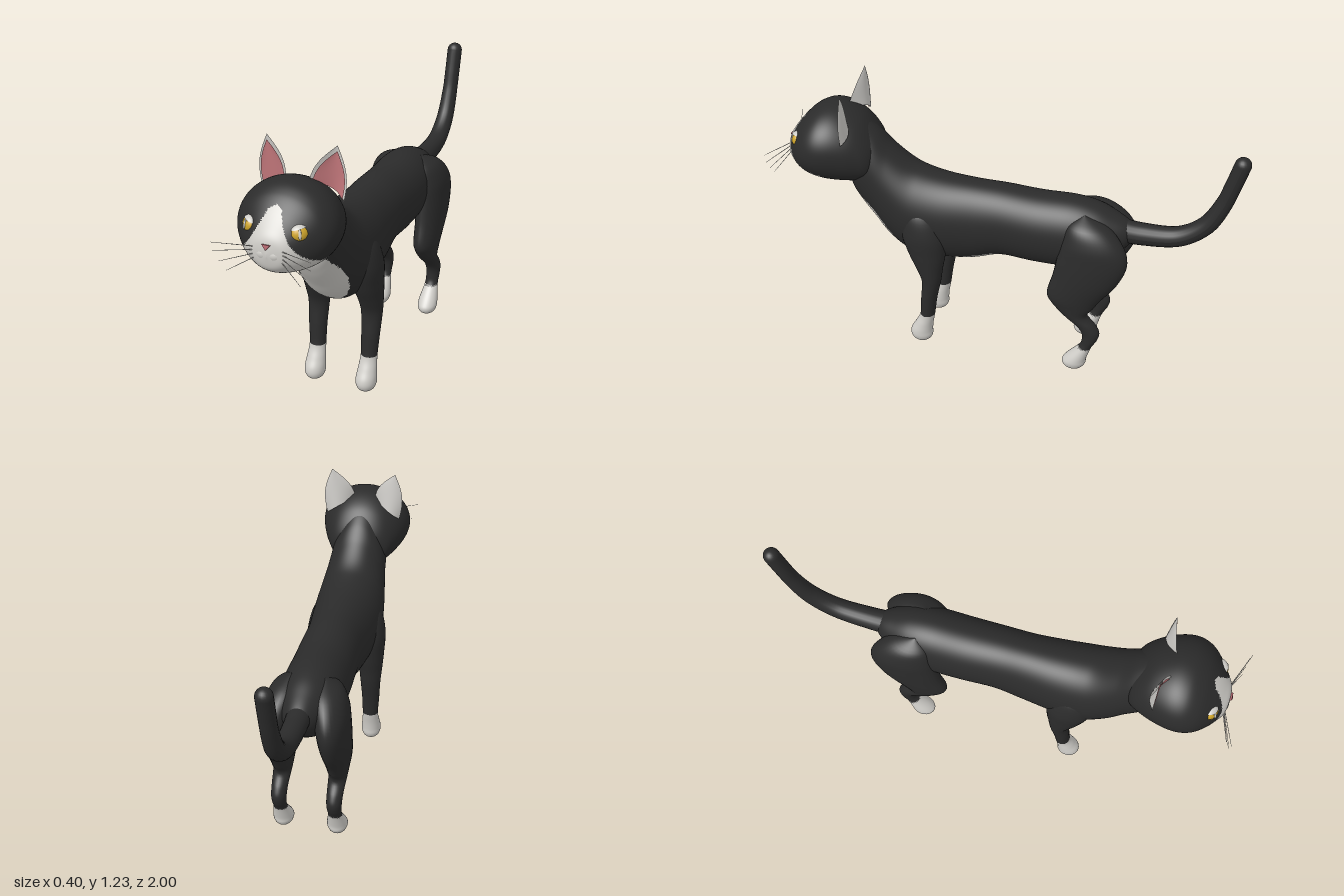
import * as THREE from 'three';

const mat = (name, color, side = THREE.FrontSide) => {
  const m = new THREE.MeshStandardMaterial({ color, side });
  m.name = name;
  return m;
};
const black = mat('black fur', 0x2b2b2b);
const white = mat('white fur', 0xcfcdc8);
const earWhite = mat('ear white', 0xcfcdc9, THREE.DoubleSide);
const earPink = mat('ear pink', 0xc4787c, THREE.DoubleSide);
const nosePink = mat('nose pink', 0xb0626a);
const yellow = mat('eye yellow', 0xcfa52a);

const mesh = (name, geometry, material, parent) => {
  const m = new THREE.Mesh(geometry, material);
  m.name = name;
  parent.add(m);
  return m;
};

// Catmull-Rom through a list of rows, t measured in rows
function sample(rows, t) {
  const i = Math.min(Math.floor(t), rows.length - 2), f = t - i;
  const at = k => rows[Math.max(0, Math.min(rows.length - 1, k))];
  const [a, b, c, d] = [at(i - 1), at(i), at(i + 1), at(i + 2)];
  return b.map((q, k) => {
    const m0 = (c[k] - a[k]) / 2, m1 = (d[k] - q) / 2;
    return q + f * m0 + f * f * (3 * (c[k] - q) - 2 * m0 - m1) + f * f * f * (2 * (q - c[k]) + m0 + m1);
  });
}

// linear lookup in [key, value] pairs, 0 outside
function lookup(table, k) {
  for (let i = 1; i < table.length; i++) {
    const [a, va] = table[i - 1], [b, vb] = table[i];
    if (k >= a && k <= b) return va + (vb - va) * (k - a) / (b - a);
  }
  return 0;
}

// skin over rings; point(row, cos, sin) places a vertex, isWhite paints a face
function loft(rows, point, isWhite, steps, sides) {
  const n = (rows.length - 1) * steps, pos = [], dark = [], pale = [];
  for (let i = 0; i <= n; i++) {
    const row = sample(rows, i / steps);
    for (let j = 0; j < sides; j++) {
      const a = (j / sides) * Math.PI * 2;
      pos.push(...point(row, Math.cos(a), Math.sin(a)));
    }
  }
  for (let i = 0; i < n; i++) for (let j = 0; j < sides; j++) {
    const k = (j + 1) % sides;
    const a = i * sides + j, b = i * sides + k, c = a + sides, d = b + sides;
    for (const tri of [[a, b, c], [b, d, c]]) {
      const mid = [0, 1, 2].map(q => (pos[tri[0] * 3 + q] + pos[tri[1] * 3 + q] + pos[tri[2] * 3 + q]) / 3);
      (isWhite(...mid) ? pale : dark).push(...tri);
    }
  }
  const g = new THREE.BufferGeometry();
  g.setAttribute('position', new THREE.Float32BufferAttribute(pos, 3));
  g.setIndex([...dark, ...pale]);
  g.addGroup(0, dark.length, 0);
  g.addGroup(dark.length, pale.length, 1);
  g.computeVertexNormals();
  return g;
}

// rows of trunk and head: z, top, bottom, half width
const trunkPoint = ([z, top, bot, w], c, s) =>
  [Math.max(0, w) * c, (top + bot) / 2 + Math.max(0, top - bot) / 2 * s, z];
// rows of legs: y, z, x, half depth, half width
const legPoint = side => ([y, z, x, rz, rx], c, s) =>
  [side * x + Math.max(0, rx) * c, y, z - Math.max(0, rz) * s];

const TRUNK = [
  [-.56, .71, .67, 0], [-.54, .738, .63, .05], [-.48, .772, .57, .09], [-.4, .805, .52, .12],
  [-.3, .82, .49, .133], [-.15, .817, .485, .133], [0, .825, .49, .13], [.12, .826, .45, .135],
  [.25, .832, .43, .148], [.35, .85, .43, .155], [.42, .88, .445, .153], [.5, .945, .5, .14],
  [.56, 1.01, .575, .128], [.62, 1.055, .655, .12], [.66, 1.06, .73, .1], [.69, .98, .86, 0]];
const HEAD = [
  [.53, .92, .86, 0], [.56, .99, .8, .11], [.62, 1.065, .777, .158], [.7, 1.108, .771, .19],
  [.77, 1.113, .773, .2], [.83, 1.087, .782, .185], [.88, 1.04, .795, .147], [.92, .99, .815, .1],
  [.945, .95, .842, .06], [.955, .9, .89, 0]];
const FRONT_LEG = [
  [0, .36, .12, 0, 0], [.006, .36, .12, .034, .03], [.03, .36, .12, .05, .043], [.06, .358, .12, .049, .044],
  [.1, .345, .12, .04, .04], [.155, .328, .12, .033, .036], [.25, .317, .122, .036, .04],
  [.35, .303, .122, .043, .046], [.42, .31, .12, .06, .053], [.5, .322, .113, .085, .064],
  [.6, .335, .105, .1, .072], [.7, .35, .085, .075, .062], [.76, .36, .07, 0, 0]];
const HIND_LEG = [
  [0, -.35, .12, 0, 0], [.006, -.35, .12, .036, .03], [.03, -.352, .12, .053, .043], [.06, -.362, .12, .047, .043],
  [.13, -.402, .12, .028, .03], [.17, -.418, .12, .033, .031], [.21, -.42, .12, .04, .033],
  [.25, -.397, .12, .044, .035], [.3, -.348, .12, .054, .04], [.35, -.337, .12, .092, .047],
  [.4, -.34, .12, .118, .054], [.5, -.385, .12, .14, .061], [.6, -.41, .115, .148, .066],
  [.68, -.405, .105, .13, .068], [.75, -.38, .085, .085, .055], [.79, -.36, .07, 0, 0]];

// widths of the white markings: bib and face by height, belly by depth
const BIB = [[.42, .08], [.45, .055], [.5, .08], [.55, .105], [.62, .115], [.7, .1], [.76, .078], [.82, .06]];
const BELLY = [[-.17, 0], [-.05, .075], [.1, .09], [.3, .08], [.46, .055]];
const FACE = [[.76, .2], [.83, .17], [.86, .15], [.9, .11], [.94, .077], [1, .045], [1.045, .025], [1.06, 0]];
const trunkWhite = (x, y, z) => z > .45 ? Math.abs(x) < lookup(BIB, y) : y < .56 && Math.abs(x) < lookup(BELLY, z);
const faceWhite = (x, y, z) => z > .77 && Math.abs(x) < lookup(FACE, y);

// thin straight hair between two points
function hair(name, a, b, parent) {
  const p = new THREE.Vector3(...a), q = new THREE.Vector3(...b);
  const m = mesh(name, new THREE.CylinderGeometry(.0008, .0018, p.distanceTo(q), 5), white, parent);
  m.position.copy(p).lerp(q, .5);
  m.quaternion.setFromUnitVectors(new THREE.Vector3(0, 1, 0), q.sub(p).normalize());
}

// ear shell: a bowed base edge narrowing to the tip
function earShell(side, margin, forward) {
  const base = new THREE.QuadraticBezierCurve3(
    new THREE.Vector3(.045, 1.085, .7), new THREE.Vector3(.12, 1.06, .6), new THREE.Vector3(.168, 1.01, .66));
  const tip = new THREE.Vector3(.144, 1.228 - margin * .3, .655);
  const g = new THREE.PlaneGeometry(1, 1, 14, 14), p = g.attributes.position;
  for (let i = 0; i < p.count; i++) {
    const u = margin + (p.getX(i) + .5) * (1 - 2 * margin), v = p.getY(i) + .5;
    const q = base.getPoint(u).lerp(tip, v);
    q.x += (u - .5) * .045 * Math.sin(Math.PI * v);
    p.setXYZ(i, side * q.x, q.y, q.z + forward * (1 - .6 * v));
  }
  if (side < 0) g.setIndex([...g.index.array].reverse());
  g.computeVertexNormals();
  return g;
}

function addTail(parent) {
  const path = new THREE.CatmullRomCurve3([[-.46, .7], [-.6, .693], [-.75, .712], [-.85, .785], [-.91, .9],
    [-.94, 1], [-.965, 1.096]].map(([z, y]) => new THREE.Vector3(0, y, z)));
  const g = new THREE.TubeGeometry(path, 50, 1, 20), p = g.attributes.position, v = new THREE.Vector3();
  for (let i = 0; i < p.count; i++) {
    const t = Math.floor(i / 21) / 50, c = path.getPointAt(t);
    v.fromBufferAttribute(p, i).sub(c).multiplyScalar(.052 - .018 * Math.min(1, t * 1.3)).add(c);
    p.setXYZ(i, v.x, v.y, v.z);
  }
  g.computeVertexNormals();
  mesh('tail', g, black, parent);
  mesh('tailTip', new THREE.SphereGeometry(.034, 20, 14), black, parent).position.set(0, 1.096, -.965);
}

function addEye(side, parent) {
  const eye = new THREE.Group();
  eye.name = side > 0 ? 'leftEye' : 'rightEye';
  eye.position.set(side * .1, .972, .886);
  eye.rotation.set(-.25, side * .55, 0, 'YXZ');
  mesh('eyeball', new THREE.SphereGeometry(.033, 24, 16), yellow, eye).scale.set(1, .9, .7);
  const lid = mesh('upperLid', new THREE.SphereGeometry(.036, 24, 8, 0, Math.PI * 2, 0, 1.0), white, eye);
  lid.scale.set(1, .95, .75);
  lid.rotation.z = side * .2;
  const glint = mesh('glint', new THREE.SphereGeometry(.02, 12, 10), white, eye);
  glint.scale.set(.3, 1, .2);
  glint.position.z = .0215;
  parent.add(eye);
}

export function createModel() {
  const cat = new THREE.Group();
  cat.name = 'cat';
  const fur = [black, white];
  mesh('trunk', loft(TRUNK, trunkPoint, trunkWhite, 8, 96), fur, cat);
  mesh('head', loft(HEAD, trunkPoint, faceWhite, 10, 96), fur, cat);
  addTail(cat);

  // nose and muzzle
  const tri = new THREE.Shape([[-.017, .009], [0, -.012], [.017, .009]].map(q => new THREE.Vector2(...q)));
  const nose = mesh('nose', new THREE.ExtrudeGeometry(tri, { depth: .008, bevelEnabled: false }), nosePink, cat);
  nose.position.set(0, .928, .95);
  nose.rotation.x = -.25;

  for (const side of [1, -1]) {
    const n = side > 0 ? 'left' : 'right';
    const sock = (x, y) => y < .155;
    mesh(n + 'FrontLeg', loft(FRONT_LEG, legPoint(side), sock, 6, 32), fur, cat);
    mesh(n + 'HindLeg', loft(HIND_LEG, legPoint(side), (x, y) => y < .125, 6, 32), fur, cat);
    mesh(n + 'EarBack', earShell(side, 0, 0), earWhite, cat);
    mesh(n + 'EarInside', earShell(side, .07, .008), earPink, cat);
    addEye(side, cat);
    const cheek = mesh(n + 'Muzzle', new THREE.SphereGeometry(.032, 20, 14), white, cat);
    cheek.scale.set(1, .8, .7);
    cheek.position.set(side * .022, .893, .932);
    // whiskers
    [[.2, .93], [.198, .895], [.175, .855], [.15, .82]].forEach(([x, y], i) =>
      hair(n + 'Whisker', [side * .04, .915 - i * .011, .935], [side * x, y, .998 - i * .004], cat));
  }
  return cat;
}
